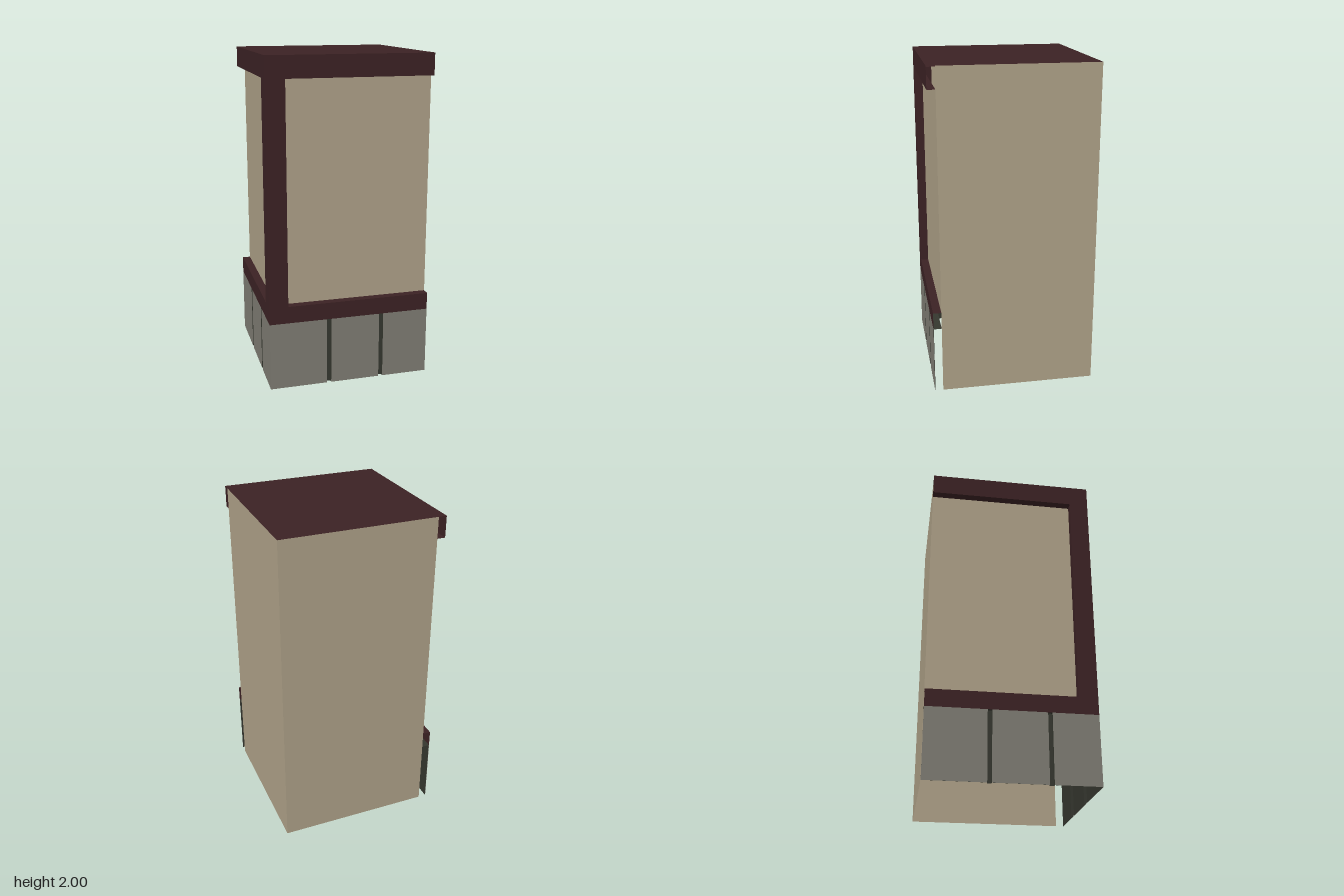
import * as THREE from 'three';

const paint = (name, color) => {
  const m = new THREE.MeshStandardMaterial({ color, side: THREE.DoubleSide });
  m.name = name;
  return m;
};

// Folded sheet: a path of points swept straight along one vector, with hard folds
function sheet(path, sweep, place) {
  const pos = [];
  for (let i = 0; i + 1 < path.length; i++) {
    const a = path[i], b = path[i + 1];
    const c = b.map((v, k) => v + sweep[k]), d = a.map((v, k) => v + sweep[k]);
    for (const p of [a, b, c, a, c, d]) pos.push(...place(p));
  }
  const g = new THREE.BufferGeometry();
  g.setAttribute('position', new THREE.Float32BufferAttribute(pos, 3));
  g.computeVertexNormals();
  return g;
}

export function createModel() {
  const model = new THREE.Group();
  const timber = paint('dark red timber', 0x3c2224);
  const plaster = paint('beige plaster', 0xaea188);
  const stone = paint('grey stone', 0x7e7c73);
  const joint = paint('dark stone joint', 0x35372f);

  const BASE = 0.42, SILL = 0.525, HEAD = 1.87, TOP = 2, POST = 0.115, DEEP = 0.05;

  const add = (parent, name, material, geometry) => {
    const mesh = new THREE.Mesh(geometry, material);
    mesh.name = name;
    parent.add(mesh);
  };

  // One decorated wall in (distance from corner, height, depth inward)
  function facade(name, place, grooves) {
    const wall = new THREE.Group();
    wall.name = name;
    model.add(wall);
    const part = (label, mat, path, sweep) => add(wall, label, mat, sheet(path, sweep, place));

    part('wallPanel', plaster, [[POST, SILL, DEEP], [1, SILL, DEEP]], [0, HEAD - SILL, 0]);

    // Timber frame with inward returns
    part('topRail', timber, [[0, TOP, 0], [0, HEAD, 0], [0, HEAD, DEEP]], [1, 0, 0]);
    part('bottomRail', timber, [[0, SILL, DEEP], [0, SILL, 0], [0, BASE, 0]], [1, 0, 0]);
    part('cornerPost', timber, [[0, SILL, 0], [POST, SILL, 0], [POST, SILL, DEEP]], [0, HEAD - SILL, 0]);

    // Stone plinth: a dark grooved shell faced with thin slabs
    const skin = 0.002, cut = 0.02, half = 0.013;
    const path = [[skin, 0, skin]];
    let start = 0;
    for (const u of [...grooves, 1 + half]) {
      const end = u - half;
      part('stoneSlab', stone, [[start, 0, 0], [end, 0, 0]], [0, BASE, 0]);
      path.push([end, 0, skin]);
      if (u < 1) path.push([end, 0, cut], [u + half, 0, cut], [u + half, 0, skin]);
      start = u + half;
    }
    part('plinthShell', joint, path, [0, BASE, 0]);
    part('plinthLedge', joint, [[0, BASE, 0], [0, BASE, DEEP]], [1, 0, 0]);
  }

  facade('frontWall', ([u, y, d]) => [-0.5 + u, y, 0.5 - d], [0.367, 0.7]);
  facade('sideWall', ([u, y, d]) => [-0.5 + d, y, 0.5 - u], [0.285, 0.63]);

  // Two plain walls meeting at the opposite corner
  const same = (p) => p;
  add(model, 'plainSideWall', plaster, sheet([[0.5, 0, 0.45], [0.5, 0, -0.5]], [0, TOP, 0], same));
  add(model, 'plainBackWall', plaster, sheet([[0.5, 0, -0.5], [-0.45, 0, -0.5]], [0, TOP, 0], same));

  // Flat roof
  add(model, 'roof', timber, sheet([[-0.5, TOP, 0.5], [0.5, TOP, 0.5]], [0, 0, -1], same));
  return model;
}
